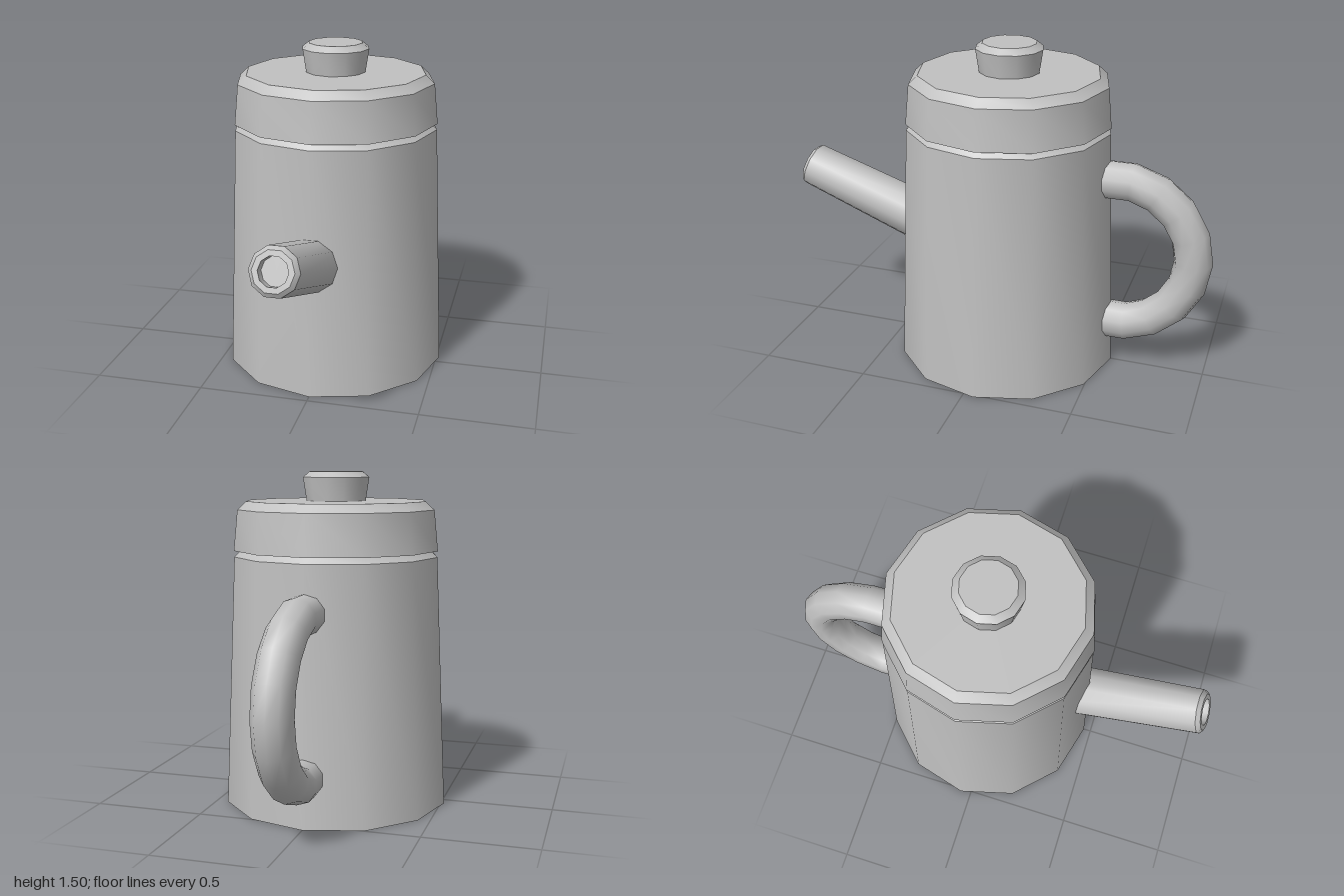
import * as THREE from 'three';
import { toCreasedNormals } from 'three/addons/utils/BufferGeometryUtils.js';

const BODY_Z = -0.05;

// Half-round handle path in the yz plane with straight ends running into the body
class HandleCurve extends THREE.Curve {
  getPoint(t, target = new THREE.Vector3()) {
    const s = t * 12 - 6, n = Math.min(Math.abs(s), 4);
    const a = n * Math.PI / 9, r = 0.355;
    const z = -0.562 - r * Math.cos(a) + (Math.abs(s) - n) * 0.123;
    return target.set(0, 0.57 + Math.sign(s) * r * Math.sin(a), z);
  }
  getUtoTmapping(u) { return u; }
}

export function createModel() {
  const group = new THREE.Group();
  const grey = new THREE.MeshStandardMaterial({ color: 0xc0c0c0 });

  const add = (name, geometry, z = 0, y = 0) => {
    const mesh = new THREE.Mesh(geometry, grey);
    mesh.name = name;
    mesh.position.set(0, y, z);
    group.add(mesh);
    return mesh;
  };

  // Faceted turned part, smooth around and sharp along profile corners
  const turned = (profile, sides) => toCreasedNormals(
    new THREE.LatheGeometry(profile.map(([r, y]) => new THREE.Vector2(r, y)), sides, Math.PI / 2),
    THREE.MathUtils.degToRad(360 / sides + 3));

  // Tapered pot with chamfered shoulder
  add('body', turned([[0, 0], [0.515, 0], [0.466, 1.13], [0.44, 1.157], [0, 1.157]], 12), BODY_Z);

  // Lid with overhanging skirt
  add('lid', turned([[0, 1.157], [0.468, 1.157], [0.45, 1.338], [0.41, 1.375], [0, 1.375]], 12), BODY_Z);

  // Flared knob
  add('lidKnob', turned([[0, 1.37], [0.136, 1.37], [0.153, 1.48], [0.122, 1.505], [0, 1.505]], 12), BODY_Z);

  // Spout, profile measured back from the tip, with a shallow recessed mouth
  const spout = add('spout', turned([
    [0, -0.75], [0.122, -0.75], [0.104, -0.018], [0.086, 0],
    [0.062, 0], [0.062, -0.05], [0, -0.05],
  ], 10), 0.968, 0.815);
  spout.rotation.x = THREE.MathUtils.degToRad(70);

  // Handle
  add('handle', new THREE.TubeGeometry(new HandleCurve(), 12, 0.087, 10, false));

  return group;
}
